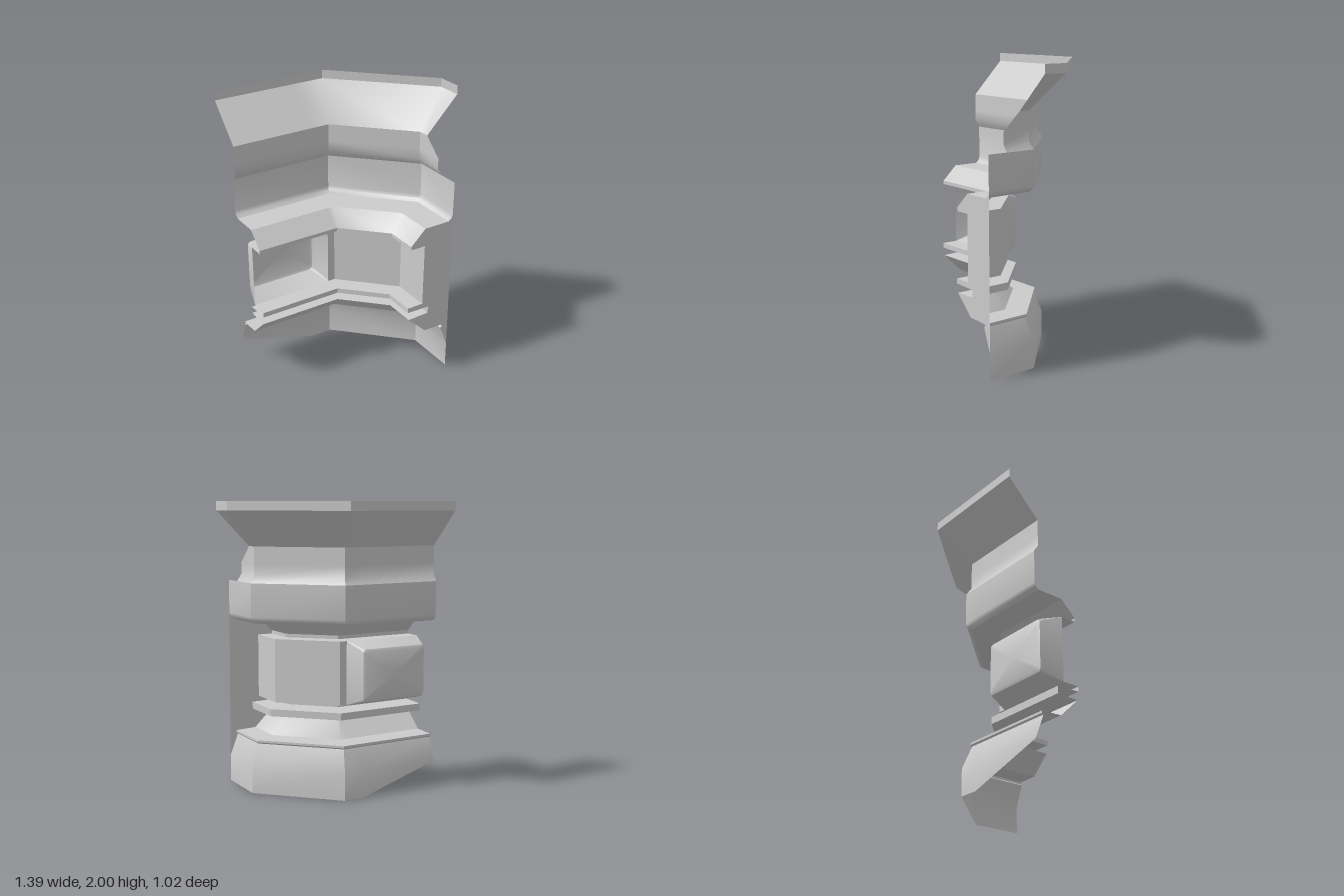
import * as THREE from 'three';
import { toCreasedNormals } from 'three/addons/utils/BufferGeometryUtils.js';

const material = new THREE.MeshStandardMaterial({ color: 0xcccccc, side: THREE.DoubleSide });
const LEFT_EDGE = -0.7, SPLIT = -0.115, END = 0.51;
const BEND = Math.tan(Math.PI / 8);

function makeMesh(name, positions, index) {
  const geometry = new THREE.BufferGeometry();
  geometry.setAttribute('position', new THREE.Float32BufferAttribute(positions, 3));
  geometry.setIndex(index);
  const mesh = new THREE.Mesh(toCreasedNormals(geometry, 0.6), material);
  mesh.name = name;
  return mesh;
}

// One row of the wall: straight run, 45 degree corner, straight run.
// d is the distance outwards, end is where the second run stops.
function wallRow(d, y, end = END) {
  const startY = y === 0 ? 0.18 : y;
  return [
    [LEFT_EDGE, startY, -d], [SPLIT, y, -d],
    [-0.1 + BEND * d, y, -d], [0.18 + d, y, 0.28 - BEND * d],
    [0.18 + d, y, end],
  ];
}

// Sweeps a list of [distance, height, end] around the corner.
// The first run of segment `openRow` is left open for the window.
function wallStrip(name, profile, openRow = -1) {
  const positions = profile.flatMap((p) => wallRow(...p)).flat();
  const index = [];
  for (let r = 0; r < profile.length - 1; r++) {
    for (let c = 0; c < 4; c++) {
      if (r === openRow && c === 0) continue;
      const a = r * 5 + c, b = a + 5;
      index.push(a, b, a + 1, b, b + 1, a + 1);
    }
  }
  return makeMesh(name, positions, index);
}

const BASE = [[0.32, 0], [0.32, 0.185], [0.26, 0.34], [0.27, 0.35], [0.27, 0.365], [0.12, 0.37]];
const SLOPE = [[0.12, 0.37], [-0.02, 0.505]];
const LEDGE = [[-0.02, 0.505], [0.14, 0.51], [0.14, 0.56], [-0.03, 0.565], [-0.03, 0.6]];
const BAND = [[-0.03, 0.6], [0.09, 0.6], [0.09, 1.05], [-0.02, 1.05]];
const COVE = [[-0.02, 1.05], [-0.02, 1.075], [0.09, 1.18], [0.28, 1.18]];
const CORNICE = [[0.28, 1.18], [0.305, 1.2], [0.313, 1.225], [0.313, 1.455]];
const UPPER = [[0.313, 1.455, 0.37], [0.28, 1.505, 0.37], [0.28, 1.58, 0.37], [0.28, 1.7, 0.24]];
const FLARE = [[0.28, 1.7, 0.24], [0.515, 1.94, 0.24], [0.515, 2, 0.24]];

// Window bay pushed outwards, lofted through shrinking rounded rectangles.
function windowBay() {
  const steps = [[0.09, 0, 0.002], [0.215, 0.033, 0.02], [0.24, 0.043, 0.025], [0.25, 0.062, 0.02]];
  const positions = [], index = [];
  const cx = (LEFT_EDGE + SPLIT) / 2, cy = 0.825;
  const halfW = (SPLIT - LEFT_EDGE) / 2, halfH = 0.225, arc = 4, n = arc * 4;
  for (const [d, inset, radius] of steps) {
    for (let k = 0; k < n; k++) {
      const corner = Math.floor(k / arc);
      const angle = (corner + (k % arc) / (arc - 1)) * Math.PI / 2;
      const sx = corner === 0 || corner === 3 ? 1 : -1, sy = corner < 2 ? 1 : -1;
      positions.push(
        cx + sx * (halfW - inset - radius) + radius * Math.cos(angle),
        cy + sy * (halfH - inset - radius) + radius * Math.sin(angle), -d);
    }
  }
  for (let r = 0; r < steps.length - 1; r++) {
    for (let k = 0; k < n; k++) {
      const a = r * n + k, b = r * n + (k + 1) % n;
      index.push(a, a + n, b, b, a + n, b + n);
    }
  }
  // Flat pane
  const last = (steps.length - 1) * n, centre = positions.length / 3;
  positions.push(cx, cy, -0.25);
  for (let k = 0; k < n; k++) index.push(last + k, centre, last + (k + 1) % n);
  return makeMesh('windowBay', positions, index);
}

// Flat panel that fills the recesses of the profile at the free end.
function endPanel() {
  const outline = [...BASE.slice(1), ...SLOPE.slice(1), ...LEDGE.slice(1),
    ...BAND.slice(1), ...COVE.slice(1), ...CORNICE.slice(1, 3)];
  const shape = new THREE.Shape(outline.map(([d, y]) => new THREE.Vector2(0.18 + d, y)));
  const mesh = new THREE.Mesh(new THREE.ShapeGeometry(shape), material);
  mesh.position.z = END;
  mesh.name = 'endPanel';
  return mesh;
}

export function createModel() {
  const model = new THREE.Group();
  model.name = 'cornerWall';
  model.add(
    wallStrip('base', BASE),
    wallStrip('baseSlope', SLOPE),
    wallStrip('ledge', LEDGE),
    wallStrip('windowBand', BAND, 1),
    windowBay(),
    wallStrip('cove', COVE),
    wallStrip('cornice', CORNICE),
    wallStrip('upperWall', UPPER),
    wallStrip('flaredTop', FLARE),
    endPanel(),
  );
  return model;
}
